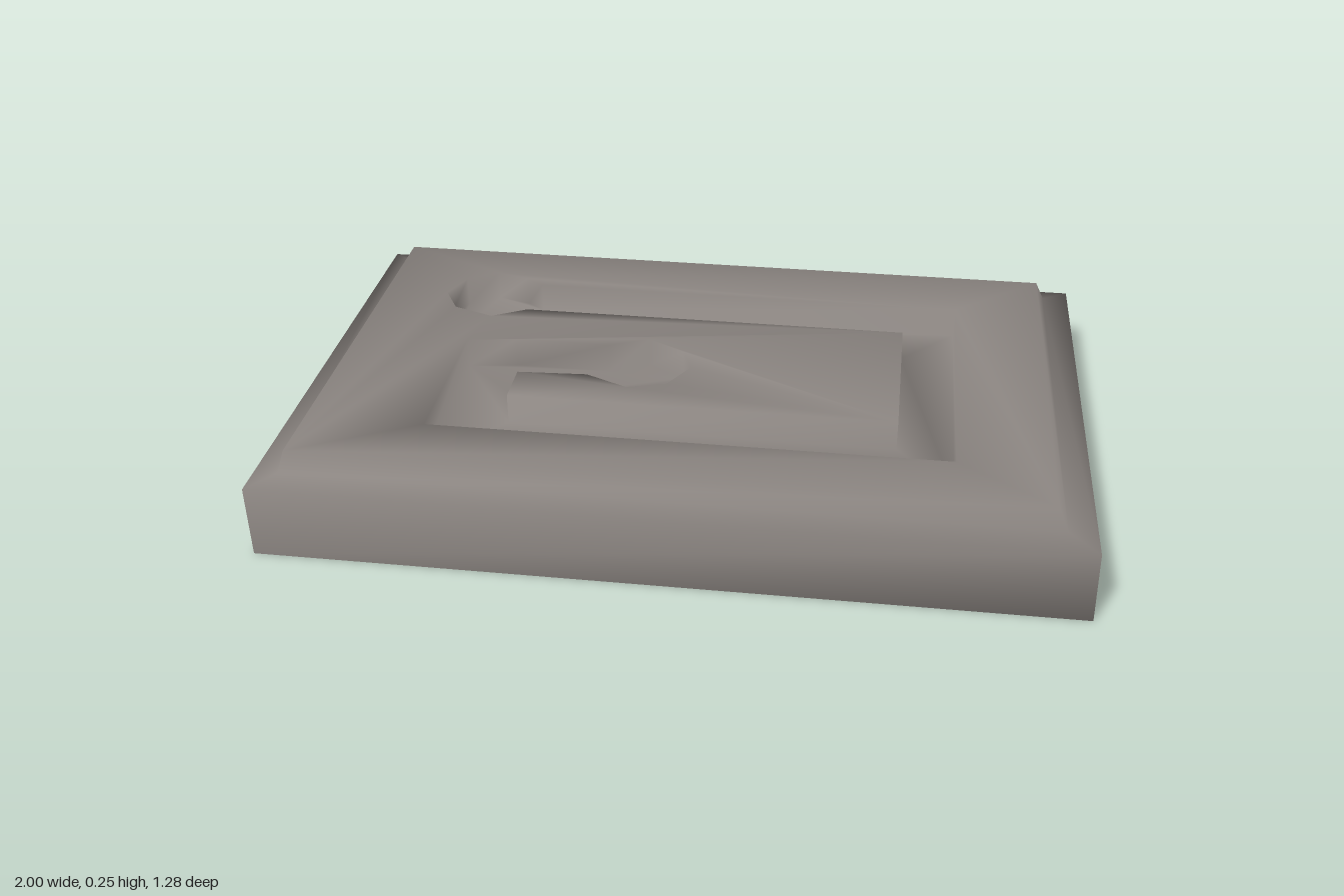
import * as THREE from 'three';

// Rectangular loop of four corners, counter-clockwise seen from above
const ring = (x0, x1, z0, z1, y) => [[x0, y, z1], [x1, y, z1], [x1, y, z0], [x0, y, z0]];

// Outline of the spiral channel as x, z pairs, clockwise seen from above
const channel = [
  [-0.745, -0.29], [-0.71, -0.38], [-0.63, -0.43], [-0.54, -0.405], [-0.49, -0.37],
  [0.67, -0.37], [0.67, 0.40], [-0.62, 0.40], [-0.62, -0.03], [-0.49, -0.05],
  [-0.24, -0.05], [-0.14, -0.095], [-0.04, -0.04], [-0.01, 0.04], [-0.06, 0.13],
  [-0.16, 0.16], [-0.27, 0.11], [-0.45, 0.12], [-0.45, 0.24], [0.53, 0.24],
  [0.53, -0.22], [-0.50, -0.22], [-0.59, -0.17], [-0.70, -0.21],
];

function createShellGeometry() {
  const positions = [];
  const index = [];
  const addLoop = (points) => {
    const start = positions.length / 3;
    points.forEach((p) => positions.push(...p));
    return points.map((_, i) => start + i);
  };
  // Joins a lower loop to an upper one
  const band = (low, high) => low.forEach((a, i) => {
    const j = (i + 1) % low.length;
    index.push(a, low[j], high[j], a, high[j], high[i]);
  });
  // Fills a flat loop, facing up, leaving out an optional hole
  const cap = (loop, hole = []) => {
    const flat = (ids) => ids.map((i) => new THREE.Vector2(positions[i * 3], -positions[i * 3 + 2]));
    const ids = [...loop, ...hole];
    THREE.ShapeUtils.triangulateShape(flat(loop), hole.length ? [flat(hole)] : [])
      .forEach((face) => index.push(...face.map((k) => ids[k])));
  };

  // Outer wall, ledge and raised step
  const foot = addLoop(ring(-1, 1, -0.64, 0.635, 0));
  const ledgeOuter = addLoop(ring(-1, 0.995, -0.64, 0.64, 0.19));
  const ledgeInner = addLoop(ring(-0.935, 0.925, -0.58, 0.575, 0.2));
  const deckEdge = addLoop(ring(-0.92, 0.9, -0.565, 0.56, 0.255));
  band(foot, ledgeOuter);
  band(ledgeOuter, ledgeInner);
  band(ledgeInner, deckEdge);

  // Deck with the sunken channel, its walls and floor
  const rim = addLoop(channel.map(([x, z]) => [x, 0.255, z]));
  const floor = addLoop(channel.map(([x, z]) => [x, 0.175, z]));
  cap(deckEdge, rim);
  band(floor, rim);
  cap([...floor].reverse());

  const geometry = new THREE.BufferGeometry();
  geometry.setAttribute('position', new THREE.Float32BufferAttribute(positions, 3));
  geometry.setIndex(index);
  geometry.computeVertexNormals(); // shared corners keep the whole shell smooth
  return geometry;
}

export function createModel() {
  const group = new THREE.Group();
  group.name = 'channelledSlab';
  // Thin shell, open underneath
  const warmGrey = new THREE.MeshStandardMaterial({ color: 0x8a8480, side: THREE.DoubleSide });
  warmGrey.name = 'warm grey';
  const shell = new THREE.Mesh(createShellGeometry(), warmGrey);
  shell.name = 'slabShell';
  group.add(shell);
  return group;
}
